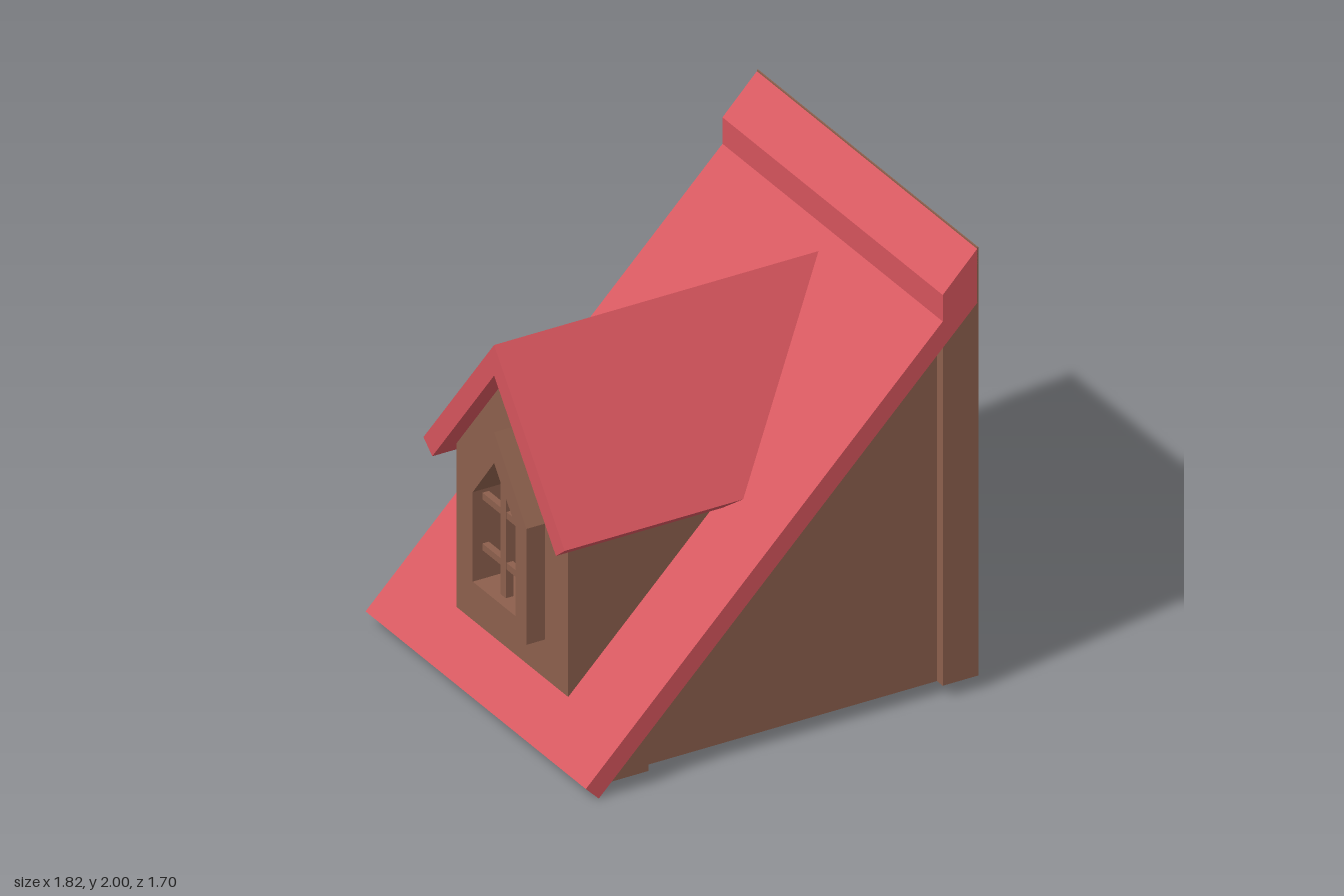
import * as THREE from 'three';

const red = new THREE.MeshStandardMaterial({ color: 0xd4545c });
red.name = 'roofRed';
const brown = new THREE.MeshStandardMaterial({ color: 0x8c5f4c });
brown.name = 'woodBrown';

const toVectors = (points) => points.map(([a, b]) => new THREE.Vector2(a, b));

function extrude(points, depth, hole) {
  const shape = new THREE.Shape(toVectors(points));
  if (hole) shape.holes.push(new THREE.Path(toVectors(hole)));
  return new THREE.ExtrudeGeometry(shape, { depth, bevelEnabled: false });
}

// Side profile in x and y, centred across z
function acrossZ(name, points, width, material) {
  const mesh = new THREE.Mesh(extrude(points, width).translate(0, 0, -width / 2), material);
  mesh.name = name;
  return mesh;
}

// Symmetric profile in z and y, running from x0 to x1
function alongX(name, points, x0, x1, material, hole) {
  const geometry = extrude(points, x1 - x0, hole).rotateY(Math.PI / 2).translate(x0, 0, 0);
  const mesh = new THREE.Mesh(geometry, material);
  mesh.name = name;
  return mesh;
}

function box(name, size, position, material) {
  const mesh = new THREE.Mesh(new THREE.BoxGeometry(...size), material);
  mesh.position.set(...position);
  mesh.name = name;
  return mesh;
}

// Five-sided gable outline
const gable = (half, bottom, shoulder, peak) =>
  [[-half, bottom], [half, bottom], [half, shoulder], [0, peak], [-half, shoulder]];

export function createModel() {
  const group = new THREE.Group();
  group.name = 'roofWithDormer';

  // Main body: recessed side walls between flush end posts
  group.add(
    acrossZ('sideWalls', [[-0.62, 0.06], [0.74, 0.06], [0.74, 1.59], [-0.62, 0.23]], 1.61, brown),
    acrossZ('backPosts', [[0.74, 0.06], [0.905, 0.06], [0.905, 1.755], [0.74, 1.59]], 1.7, brown),
    acrossZ('eavePosts', [[-0.79, 0.06], [-0.62, 0.06], [-0.62, 0.23]], 1.7, brown),
  );

  // Sloping roof with a raised cap along the top
  group.add(
    acrossZ('mainRoof', [
      [-0.91, 0.06], [-0.85, 0], [0.9, 1.75], [0.9, 1.995], [0.74, 1.83], [0.74, 1.71],
    ], 1.7, red),
    box('capBackPlate', [0.006, 0.25, 1.7], [0.902, 1.875, 0], brown),
  );

  // Dormer
  const dormer = new THREE.Group();
  dormer.name = 'dormer';
  const opening = gable(0.165, 0.495, 0.9, 1.11);
  dormer.add(
    alongX('dormerWalls', gable(0.43, 0.2, 0.98, 1.51), -0.74, 0.6, brown, opening),
    alongX('windowFrame', gable(0.25, 0.405, 0.93, 1.25), -0.825, -0.74, brown, opening),
    alongX('dormerRoof', [
      [0.545, 0.97], [0, 1.645], [-0.545, 0.97], [-0.477, 0.915], [0, 1.506], [0.477, 0.915],
    ], -0.825, 0.72, red),
  );

  // Window bars
  dormer.add(box('verticalBar', [0.035, 0.6, 0.04], [-0.765, 0.79, 0], brown));
  for (const y of [0.64, 0.87]) {
    dormer.add(box('horizontalBar', [0.03, 0.03, 0.34], [-0.765, y, 0], brown));
  }
  group.add(dormer);
  return group;
}
